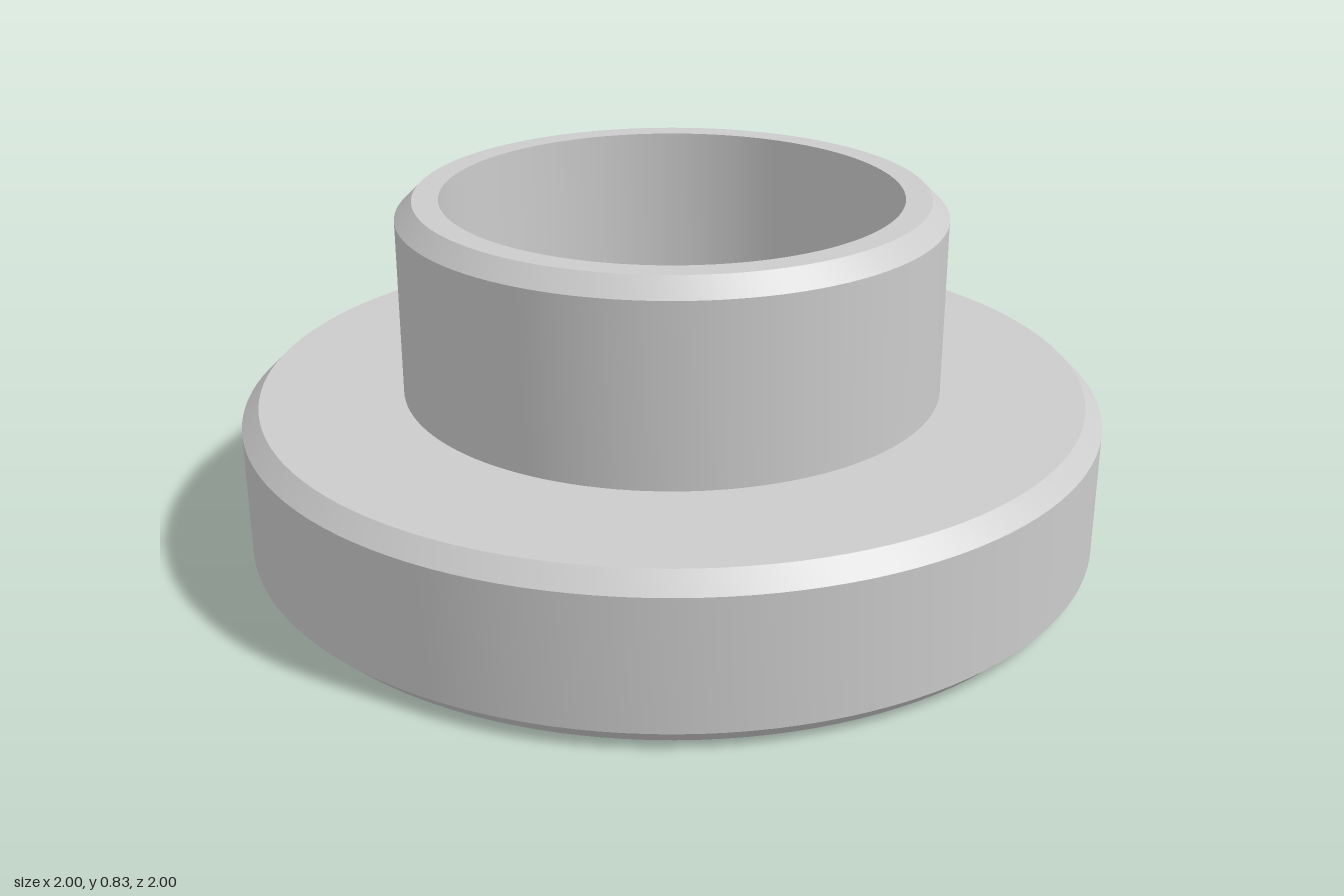
import * as THREE from 'three';
import { toCreasedNormals } from 'three/addons/utils/BufferGeometryUtils.js';

const BORE = 0.53, SLEEVE = 0.63, FLANGE = 1;
const FLANGE_TOP = 0.377, TOP = 0.83, CHAMFER = 0.04;

export function createModel() {
  const group = new THREE.Group();
  group.name = 'flangedBushing';

  // Closed cross-section: underside, flange rim, sleeve, then back down the bore
  const profile = [
    [BORE, 0],
    [FLANGE - CHAMFER, 0],
    [FLANGE, CHAMFER],
    [FLANGE, FLANGE_TOP - CHAMFER],
    [FLANGE - CHAMFER, FLANGE_TOP],
    [SLEEVE, FLANGE_TOP],
    [SLEEVE, TOP - CHAMFER],
    [SLEEVE - CHAMFER, TOP],
    [BORE, TOP],
    [BORE, 0],
  ].map(([r, y]) => new THREE.Vector2(r, y));

  // Smooth around the axis, sharp at the chamfers
  const geometry = toCreasedNormals(new THREE.LatheGeometry(profile, 128), 0.5);
  const bushing = new THREE.Mesh(geometry, new THREE.MeshStandardMaterial({ color: 0xcccccc }));
  bushing.name = 'flangeAndSleeve';
  group.add(bushing);

  return group;
}
